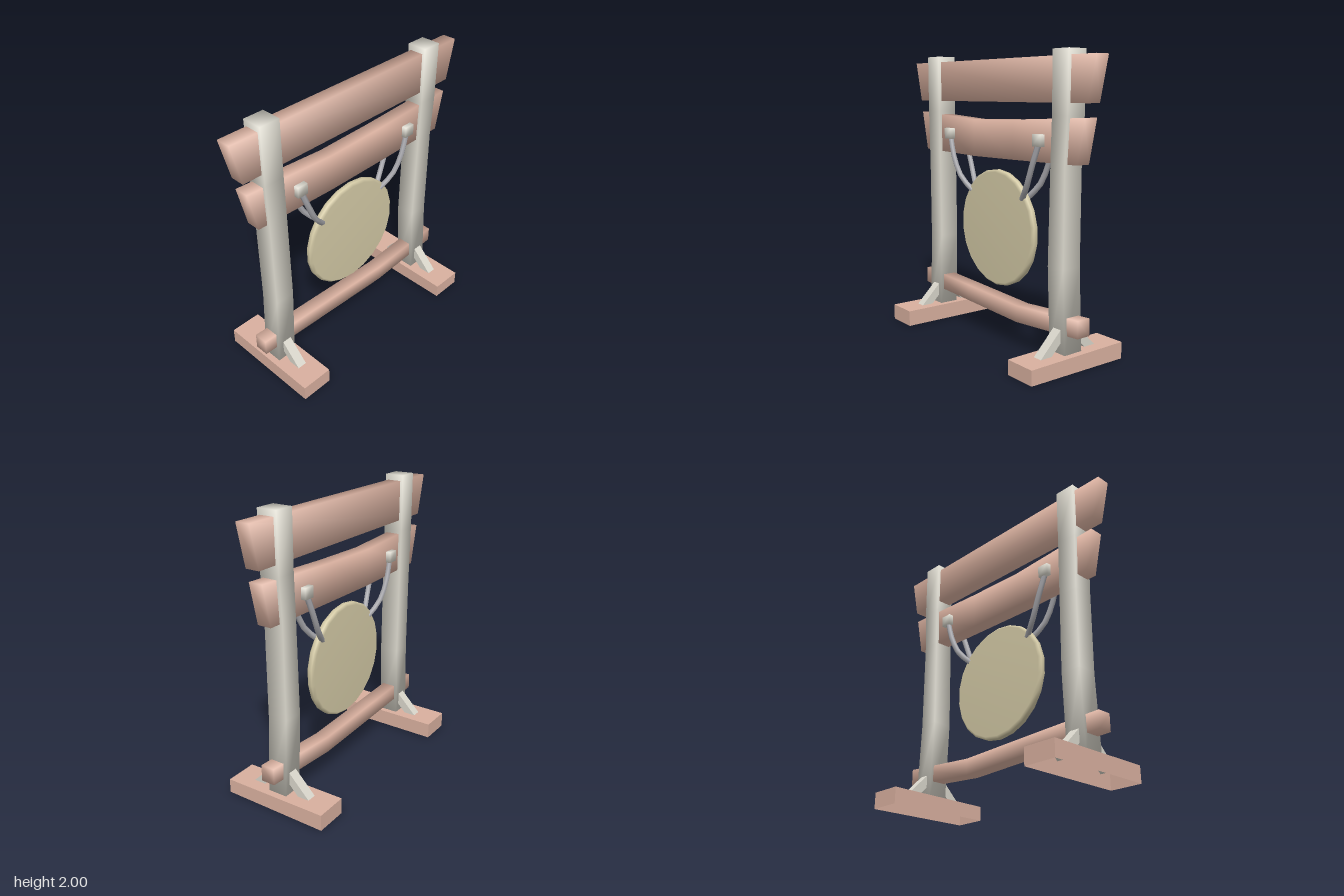
import * as THREE from 'three';

const mat = (name, color, side = THREE.FrontSide) => {
  const m = new THREE.MeshStandardMaterial({ color, side });
  m.name = name;
  return m;
};

// Block from rectangular sections along one axis, with softly shared corner normals.
// Each section is [a, b, c, d, ...] resolved by place(section, u, v) with u, v = -1 or 1.
function loft(sections, place) {
  const n = sections.length, ring = [[-1, -1], [1, -1], [1, 1], [-1, 1]];
  const pos = [], idx = [];
  for (const s of sections) for (const [u, v] of ring) pos.push(...place(s, u, v));
  for (let i = 0; i < n - 1; i++) for (let k = 0; k < 4; k++) {
    const a = i * 4 + k, b = i * 4 + (k + 1) % 4;
    idx.push(a, b, b + 4, a, b + 4, a + 4);
  }
  const e = (n - 1) * 4;
  idx.push(0, 2, 1, 0, 3, 2, e, e + 1, e + 2, e, e + 2, e + 3);
  const g = new THREE.BufferGeometry();
  g.setAttribute('position', new THREE.Float32BufferAttribute(pos, 3));
  g.setIndex(idx);
  // Corner normals point evenly away from the adjoining faces
  const nor = [], zero = place.length && place.axis;
  sections.forEach((s, i) => ring.forEach(([u, v]) => {
    const end = i === 0 ? -1 : i === n - 1 ? 1 : 0;
    const d = zero === 'x' ? [end, u, v] : [u, end, -v];
    nor.push(...new THREE.Vector3(...d).normalize().toArray());
  }));
  g.setAttribute('normal', new THREE.Float32BufferAttribute(nor, 3));
  return g;
}

// Beam section: [x at bottom, x at top, bottom y, top y]
const beamPlace = (s, u, v) => [u < 0 ? s[0] : s[1], u < 0 ? s[2] : s[3], v * 0.05];
beamPlace.axis = 'x';
// Post section: [y, left x, right x]
const postPlace = (s, u, v) => [u < 0 ? s[1] : s[2], s[0], -v * 0.071];
postPlace.axis = 'y';

export function createModel() {
  const wood = mat('rose wood', 0xd9b09f);
  const footWood = wood;
  footWood.side = THREE.DoubleSide; // feet are open underneath
  const pale = mat('pale wood', 0xd9d6cb);
  const brass = mat('pale brass', 0xd4caa6);
  const cord = mat('grey cord', 0xa9a9ae);

  const model = new THREE.Group();
  model.name = 'gongStand';
  const add = (name, geo, material) => {
    const m = new THREE.Mesh(geo, material);
    m.name = name;
    model.add(m);
    return m;
  };

  // Cross beams
  add('topBeam', loft([[-0.92, -0.99, 1.675, 1.96], [0.922, 0.987, 1.675, 1.96]], beamPlace), wood);
  add('hangingBeam', loft([
    [-0.84, -0.905, 1.305, 1.59], [-0.22, -0.22, 1.29, 1.55],
    [0.22, 0.22, 1.295, 1.56], [0.84, 0.902, 1.305, 1.59],
  ], beamPlace), wood);
  add('lowerRail', loft([
    [-0.875, -0.875, 0.235, 0.35], [-0.3, -0.3, 0.212, 0.328],
    [0.27, 0.27, 0.19, 0.305], [0.87, 0.87, 0.235, 0.35],
  ], beamPlace), wood);

  // Slightly crooked posts
  add('rightPost', loft([
    [0.1, -0.785, -0.64], [0.65, -0.765, -0.622], [1.2, -0.77, -0.63],
    [1.6, -0.782, -0.637], [2, -0.785, -0.64],
  ], postPlace), pale);
  add('leftPost', loft([
    [0.1, 0.635, 0.78], [0.65, 0.61, 0.753], [1.3, 0.625, 0.756],
    [1.6, 0.635, 0.775], [2, 0.635, 0.78],
  ], postPlace), pale);

  for (const side of [-1, 1]) {
    const label = side < 0 ? 'right' : 'left';

    // Foot: a shell open at the bottom
    const foot = new THREE.BoxGeometry(0.23, 0.113, 0.77);
    const p = foot.attributes.position;
    for (let i = 0; i < p.count; i++) {
      if (side > 0 && p.getY(i) > 0 && p.getZ(i) > 0) p.setY(i, p.getY(i) - 0.013);
    }
    const index = Array.from(foot.index.array);
    index.splice(18, 6); // drop the underside
    foot.setIndex(index);
    foot.clearGroups();
    foot.computeVertexNormals();
    add(label + 'Foot', foot, footWood).position.set(side * 0.713, 0.0565, -0.004);

    for (const face of [-1, 1]) {
      const end = face > 0 ? 'Front' : 'Back';

      // Diagonal brace between post and foot
      const brace = add(label + end + 'Brace', new THREE.BoxGeometry(0.068, 0.235, 0.062), pale);
      brace.position.set(side * 0.704, 0.158, face * 0.132);
      brace.rotation.x = -face * Math.PI / 4;

      // Cord from the peg to the rim of the gong
      const path = new THREE.CatmullRomCurve3([
        [0.5, 1.42, 0.06], [0.445, 1.27, 0.069], [0.375, 1.13, 0.055], [0.285, 1.035, 0.018],
      ].map(([x, y, z]) => new THREE.Vector3(side * x, y, face * z)));
      add(label + end + 'Cord', new THREE.TubeGeometry(path, 6, 0.02, 6), cord);
    }

    // Peg through the hanging beam
    const peg = [[1.4, 0.463, 0.543], [1.478, 0.463, 0.543]]
      .map(([y, a, b]) => side > 0 ? [y, a, b] : [y, -b, -a]);
    const pegPlace = (s, u, v) => [u < 0 ? s[1] : s[2], s[0], -v * 0.086];
    pegPlace.axis = 'y';
    add(label + 'Peg', loft(peg, pegPlace), pale);
  }

  // Gong disc with a bevelled rim
  const profile = [[0, -0.03], [0.392, -0.03], [0.41, -0.014], [0.41, 0.014], [0.392, 0.03], [0, 0.03]]
    .map(([r, y]) => new THREE.Vector2(r, y));
  const gong = add('gong', new THREE.LatheGeometry(profile, 22), brass);
  gong.rotation.x = Math.PI / 2;
  gong.position.y = 0.8;

  return model;
}
